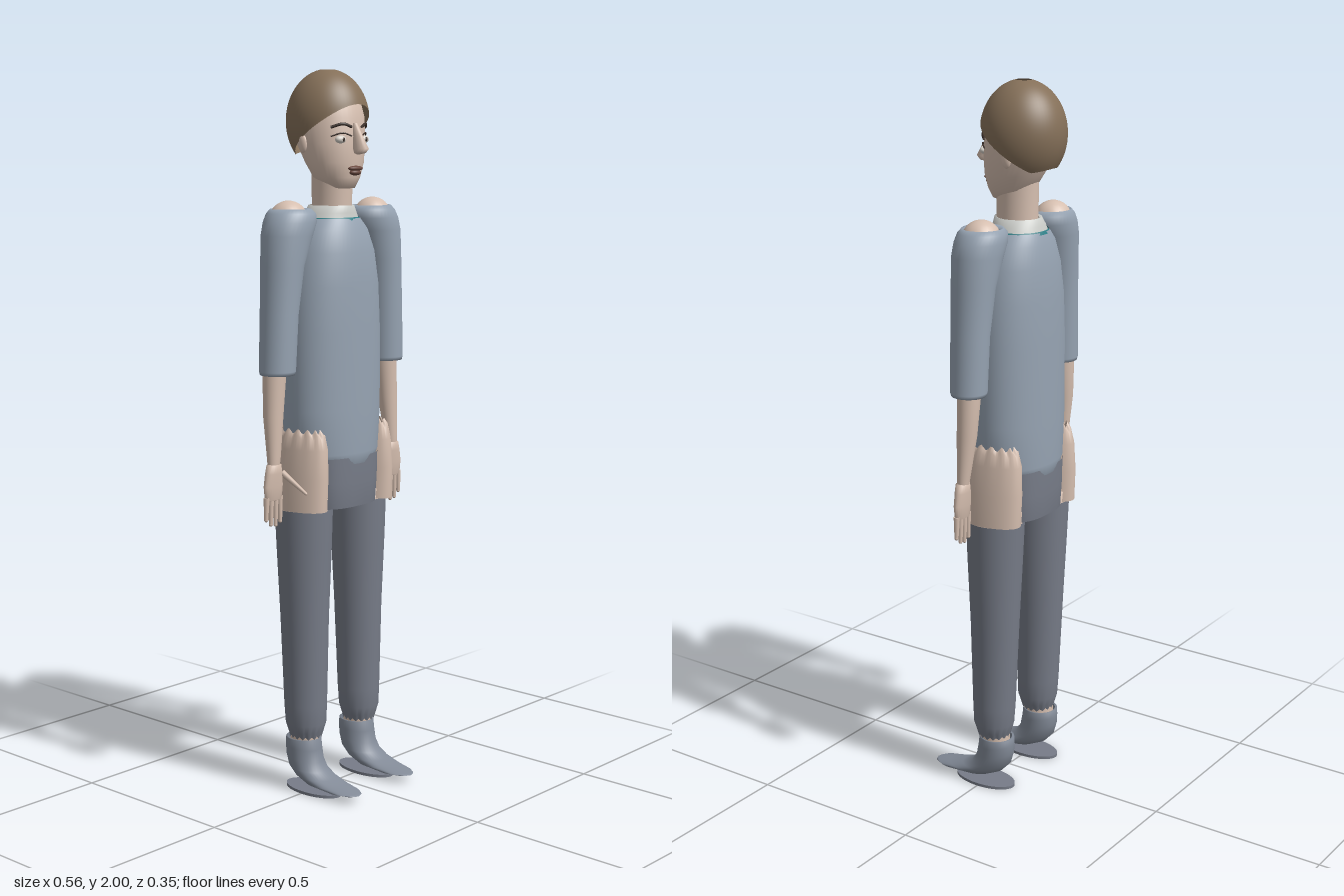
import * as THREE from 'three';

const mat = (name, color) => new THREE.MeshStandardMaterial({ name, color, side: THREE.DoubleSide });
const M = {
  skin: mat('skin', 0xd6bfb0),
  shirt: mat('shirt blue grey', 0x97a4b3),
  trousers: mat('trouser grey', 0x777c88),
  boots: mat('boot grey', 0x838b98),
  hair: mat('hair brown', 0x857059),
  lips: mat('lip brown', 0x6b4a40),
  dark: mat('dark brown', 0x3a2e28),
  eye: mat('eye white', 0xd9d4cc),
  collar: mat('collar grey', 0xcaccc8),
  teal: mat('teal trim', 0x2f8088),
};

// Smooth skin through elliptical rings [y, centreX, centreZ, radiusX, radiusZ, front rise]
function loft(rings, { power = 2, ripple = () => 0, seg = 40 } = {}) {
  const pos = [], idx = [];
  const bend = v => Math.sign(v) * Math.abs(v) ** (2 / power);
  rings.forEach(([y, cx, cz, rx, rz, rise = 0], i) => {
    for (let j = 0; j < seg; j++) {
      const a = (j / seg) * Math.PI * 2, s = bend(Math.sin(a));
      pos.push(cx + rx * bend(Math.cos(a)), y + rise * s + ripple(i, a), cz + rz * s);
      if (i < rings.length - 1) {
        const k = (j + 1) % seg, p = i * seg, q = p + seg;
        idx.push(p + j, q + j, p + k, q + j, q + k, p + k);
      }
    }
  });
  const g = new THREE.BufferGeometry();
  g.setAttribute('position', new THREE.Float32BufferAttribute(pos, 3));
  g.setIndex(idx);
  g.computeVertexNormals();
  return g;
}

function add(parent, name, geometry, material) {
  const m = new THREE.Mesh(geometry, material);
  m.name = name;
  parent.add(m);
  return m;
}

function ball(parent, name, material, p, s) {
  const m = add(parent, name, new THREE.SphereGeometry(1, 24, 16), material);
  m.position.set(...p);
  m.scale.set(...s);
  return m;
}

// Tapered round limb between two points
function stick(parent, name, a, b, r0, r1) {
  const A = new THREE.Vector3(...a), B = new THREE.Vector3(...b), d = B.clone().sub(A);
  const m = add(parent, name, new THREE.CylinderGeometry(r1, r0, d.length(), 10), M.skin);
  m.position.copy(A).add(B).multiplyScalar(0.5);
  m.quaternion.setFromUnitVectors(new THREE.Vector3(0, 1, 0), d.normalize());
  ball(parent, name + 'Tip', M.skin, b, [r1, r1, r1]);
}

// Hair cap: ellipsoid with a crown opening and a hairline that drops toward the back
function hairGeometry() {
  const rows = 24, seg = 64, cy = 1.86, ry = 0.14, pos = [], idx = [];
  for (let i = 0; i <= rows; i++) for (let j = 0; j < seg; j++) {
    const a = (j / seg) * Math.PI * 2, f = (1 + Math.sin(a)) / 2;
    const edge = 1.755 + 0.15 * f ** 1.3 + 0.02 * Math.max(0, 1 - f / 0.15);
    const t = THREE.MathUtils.lerp(Math.acos((edge - cy) / ry), 0.18, i / rows);
    pos.push(0.015 + 0.11 * Math.sin(t) * Math.cos(a), cy + ry * Math.cos(t), -0.057 + 0.118 * Math.sin(t) * Math.sin(a));
    if (i < rows) {
      const k = (j + 1) % seg, p = i * seg, q = p + seg;
      idx.push(p + j, q + j, p + k, q + j, q + k, p + k);
    }
  }
  const g = new THREE.BufferGeometry();
  g.setAttribute('position', new THREE.Float32BufferAttribute(pos, 3));
  g.setIndex(idx);
  g.computeVertexNormals();
  return g;
}

function buildHead() {
  const head = new THREE.Group();
  head.name = 'head';
  add(head, 'skull', loft([
    [1.678, 0, 0.0, 0.005, 0.005], [1.682, 0, 0.005, 0.035, 0.04], [1.71, 0, -0.01, 0.063, 0.064],
    [1.75, 0.002, -0.02, 0.08, 0.08], [1.8, 0.004, -0.035, 0.09, 0.095], [1.87, 0.008, -0.05, 0.095, 0.104],
    [1.92, 0.012, -0.055, 0.083, 0.092], [1.955, 0.014, -0.056, 0.055, 0.062], [1.97, 0.015, -0.056, 0.003, 0.003],
  ]), M.skin);
  add(head, 'neck', loft([[1.57, 0, -0.03, 0.054, 0.06], [1.64, 0, -0.028, 0.051, 0.058], [1.74, 0, -0.027, 0.052, 0.06]]), M.skin);
  add(head, 'hair', hairGeometry(), M.hair);
  add(head, 'nose', loft([
    [1.772, 0, 0.068, 0.003, 0.004], [1.776, 0, 0.074, 0.014, 0.018], [1.787, 0, 0.077, 0.016, 0.025],
    [1.82, 0, 0.064, 0.009, 0.019], [1.855, 0.002, 0.05, 0.008, 0.01],
  ], { seg: 16 }), M.skin);
  ball(head, 'upperLip', M.lips, [0, 1.735, 0.058], [0.027, 0.007, 0.012]);
  ball(head, 'lowerLip', M.lips, [0, 1.724, 0.057], [0.02, 0.008, 0.012]);
  for (const s of [-1, 1]) {
    const x = 0.004 + s * 0.046;
    ball(head, 'eye', M.eye, [x, 1.812, 0.042], [0.018, 0.011, 0.012]);
    ball(head, 'iris', M.dark, [x, 1.812, 0.051], [0.006, 0.006, 0.004]);
    ball(head, 'ear', M.skin, [0.003 + s * 0.089, 1.8, -0.055], [0.008, 0.024, 0.014]);
    // Brow and upper lid follow the curve of the face
    for (const [name, y, r] of [['brow', 1.848, 0.004], ['eyelid', 1.824, 0.002]]) {
      const path = new THREE.CatmullRomCurve3([[0.02, -0.003, 0.059], [0.045, 0.005, 0.05], [0.07, -0.004, 0.028]]
        .map(([px, dy, z]) => new THREE.Vector3(0.004 + s * px, y + dy, z)));
      add(head, name, new THREE.TubeGeometry(path, 12, r, 6), M.dark);
    }
  }
  return head;
}

function buildArm(s) {
  const arm = new THREE.Group();
  arm.name = s > 0 ? 'leftArm' : 'rightArm';
  add(arm, 'sleeve', loft([
    [1.2, s * 0.222, -0.024, 0.043, 0.043], [1.19, s * 0.222, -0.024, 0.047, 0.047], [1.2, s * 0.222, -0.024, 0.05, 0.05],
    [1.35, s * 0.214, -0.024, 0.051, 0.053], [1.48, s * 0.2, -0.025, 0.058, 0.06], [1.56, s * 0.181, -0.026, 0.073, 0.067],
    [1.595, s * 0.168, -0.027, 0.077, 0.068], [1.618, s * 0.162, -0.028, 0.07, 0.064], [1.63, s * 0.163, -0.029, 0.057, 0.054],
    [1.622, s * 0.165, -0.03, 0.048, 0.046],
  ]), M.shirt);
  ball(arm, 'shoulderBall', M.skin, [s * 0.17, 1.602, -0.03], [0.052, 0.05, 0.052]);
  add(arm, 'forearm', loft([
    [0.94, s * 0.244, -0.019, 0.017, 0.015], [0.97, s * 0.242, -0.02, 0.02, 0.018], [1.08, s * 0.236, -0.027, 0.028, 0.027],
    [1.18, s * 0.229, -0.029, 0.032, 0.031], [1.3, s * 0.22, -0.027, 0.034, 0.034],
  ]), M.skin);
  add(arm, 'palm', loft([
    [0.848, s * 0.247, -0.018, 0.005, 0.004], [0.853, s * 0.247, -0.018, 0.031, 0.011], [0.89, s * 0.247, -0.018, 0.034, 0.015],
    [0.925, s * 0.245, -0.018, 0.029, 0.017], [0.948, s * 0.244, -0.018, 0.023, 0.017], [0.953, s * 0.244, -0.018, 0.004, 0.004],
  ], { seg: 24 }), M.skin);
  [0.79, 0.782, 0.785, 0.8].forEach((tip, i) => {
    const x = s * (0.222 + i * 0.017);
    stick(arm, 'finger', [x, 0.86, -0.018], [x + s * 0.001 * (i - 1), tip, -0.018], 0.0085, 0.0055);
  });
  stick(arm, 'thumb', [s * 0.22, 0.925, -0.012], [s * 0.176, 0.865, 0.036], 0.009, 0.004);
  return arm;
}

function buildLeg(s) {
  const leg = new THREE.Group();
  leg.name = s > 0 ? 'leftLeg' : 'rightLeg';
  const x = s * 0.112;
  // Hip shell with a wavy upper edge
  add(leg, 'hip', loft([
    [0.81, s * 0.135, -0.03, 0.052, 0.096], [0.9, s * 0.134, -0.03, 0.052, 0.1], [0.98, s * 0.131, -0.03, 0.048, 0.097],
    [1.015, s * 0.131, -0.03, 0.042, 0.088], [1.03, s * 0.132, -0.03, 0.032, 0.075],
  ], { seg: 64, ripple: (i, a) => (i > 2 ? 0.007 * Math.sin(a * 14) : 0) }), M.skin);
  add(leg, 'thigh', loft([[0.76, x, -0.032, 0.07, 0.074], [0.84, x, -0.032, 0.072, 0.08], [0.88, x, -0.032, 0.004, 0.004]]), M.skin);
  add(leg, 'trouserLeg', loft([
    [0.155, x, -0.026, 0.042, 0.045], [0.17, x, -0.026, 0.047, 0.05], [0.195, x, -0.026, 0.056, 0.058], [0.25, x, -0.027, 0.059, 0.061],
    [0.5, x, -0.03, 0.065, 0.07], [0.7, x, -0.031, 0.074, 0.079], [0.81, x, -0.032, 0.078, 0.083],
  ], { seg: 64, ripple: (i, a) => (i < 2 ? 0.004 * Math.sin(a * 16) : 0) }), M.trousers);
  add(leg, 'ankle', loft([[0.13, x, -0.03, 0.04, 0.043], [0.19, x, -0.027, 0.041, 0.044]]), M.skin);
  // Boot runs from the pointed toe back and up to the cuff
  add(leg, 'boot', loft([
    [0.021, x, 0.17, 0.003, 0.004, 0.001], [0.0215, x, 0.155, 0.025, 0.017, 0.0015], [0.023, x, 0.115, 0.041, 0.05, 0.003],
    [0.03, x, 0.055, 0.046, 0.07, 0.004], [0.045, x, 0.012, 0.048, 0.065, 0.0], [0.066, x, -0.017, 0.049, 0.06, -0.005],
    [0.095, x, -0.03, 0.049, 0.056, -0.01], [0.125, x, -0.034, 0.049, 0.053, -0.006], [0.15, x, -0.035, 0.049, 0.05],
    [0.15, x, -0.035, 0.043, 0.044],
  ]), M.boots);
  const sole = add(leg, 'sole', new THREE.CylinderGeometry(1, 1, 0.008, 40), M.trousers);
  sole.scale.set(0.05, 1, 0.095);
  sole.position.set(x, 0.008, 0.004);
  sole.position.y = 0.004;
  return leg;
}

export function createModel() {
  const model = new THREE.Group();
  model.name = 'figure';
  model.add(buildHead());

  add(model, 'shirtBody', loft([
    [0.94, 0, -0.03, 0.115, 0.1], [0.93, 0, -0.03, 0.125, 0.105], [0.96, 0, -0.03, 0.147, 0.108], [1.08, 0, -0.03, 0.155, 0.11],
    [1.3, 0, -0.03, 0.154, 0.11], [1.42, 0, -0.03, 0.146, 0.109], [1.51, 0, -0.03, 0.13, 0.103],
    [1.57, 0, -0.032, 0.108, 0.09], [1.6, 0, -0.034, 0.083, 0.077],
  ], { power: 2.15, seg: 56 }), M.shirt);
  add(model, 'collarTrim', loft([[1.594, 0, -0.034, 0.086, 0.08], [1.603, 0, -0.034, 0.081, 0.076]]), M.teal);
  add(model, 'collar', loft([
    [1.598, 0, -0.034, 0.08, 0.075], [1.615, 0, -0.033, 0.073, 0.07], [1.635, 0, -0.03, 0.06, 0.065], [1.633, 0, -0.03, 0.052, 0.058],
  ]), M.collar);
  add(model, 'pelvis', loft([
    [0.86, 0, -0.03, 0.004, 0.004], [0.81, 0, -0.03, 0.11, 0.095], [0.81, 0, -0.03, 0.118, 0.101],
    [0.88, 0, -0.03, 0.123, 0.104], [0.95, 0, -0.03, 0.126, 0.104],
  ], { power: 3, seg: 56 }), M.trousers);

  for (const s of [-1, 1]) model.add(buildArm(s), buildLeg(s));
  return model;
}
